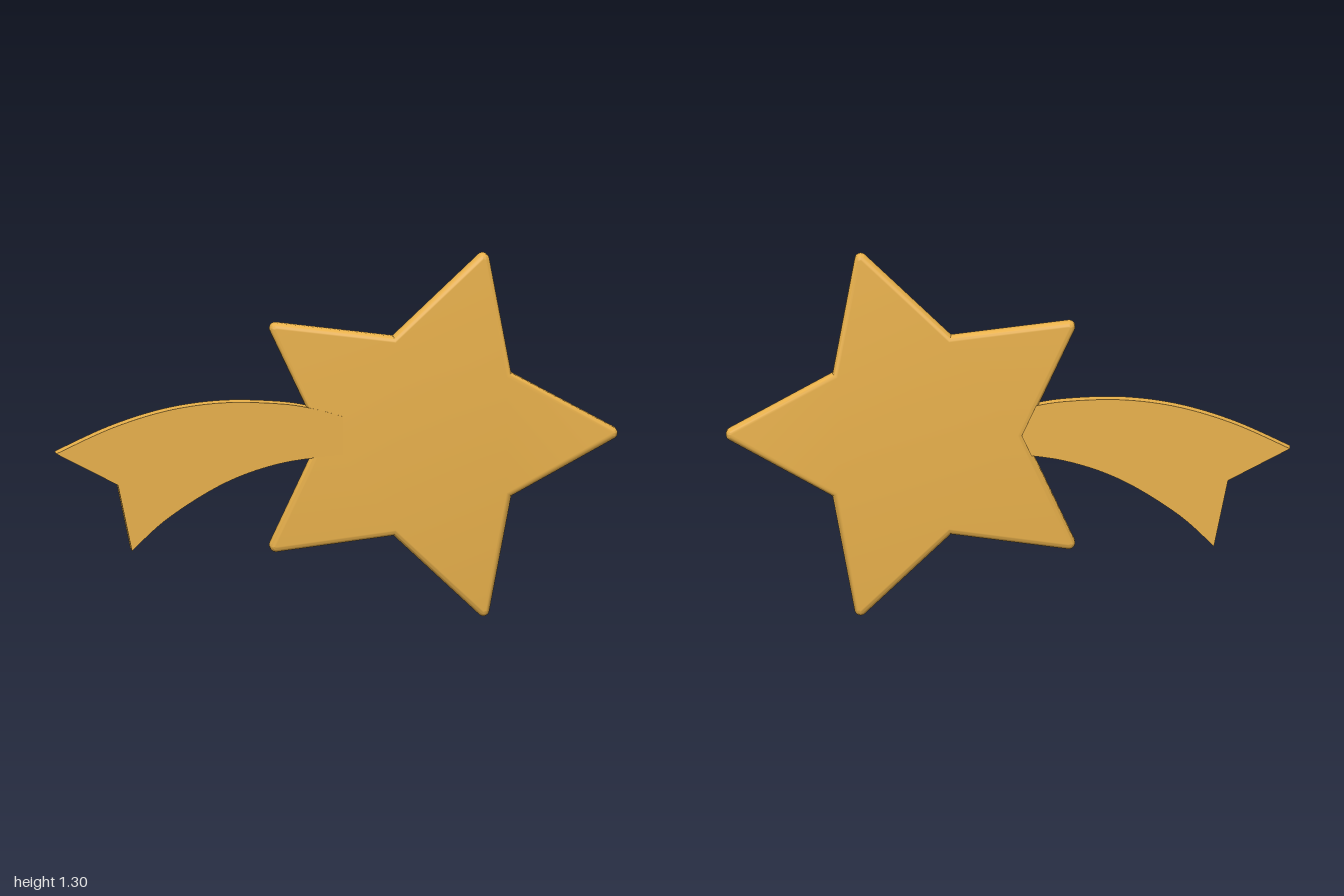
import * as THREE from 'three';
import { toCreasedNormals } from 'three/addons/utils/BufferGeometryUtils.js';

const gold = new THREE.MeshStandardMaterial({ color: 0xe8b04a });

function addPart(group, name, shape, options, z) {
  const geometry = new THREE.ExtrudeGeometry(shape, options);
  geometry.translate(0, 0, z);
  const mesh = new THREE.Mesh(toCreasedNormals(geometry, 0.6), gold);
  mesh.name = name;
  group.add(mesh);
}

// Five-pointed outline with small round tips and sharp inner corners
function starShape(cx, cy) {
  const tipCentre = 0.66, tipRadius = 0.022, inner = 0.375;
  const sweep = THREE.MathUtils.degToRad(61.4);
  const shape = new THREE.Shape();
  for (let i = 0; i < 5; i++) {
    const a = (i * 2 * Math.PI) / 5;
    const x = cx + tipCentre * Math.cos(a), y = cy + tipCentre * Math.sin(a);
    for (let j = 0; j <= 8; j++) {
      const t = a + sweep * (j / 4 - 1);
      const px = x + tipRadius * Math.cos(t), py = y + tipRadius * Math.sin(t);
      if (i + j === 0) shape.moveTo(px, py);
      else shape.lineTo(px, py);
    }
    const b = a + Math.PI / 5;
    shape.lineTo(cx + inner * Math.cos(b), cy + inner * Math.sin(b));
  }
  shape.closePath();
  return shape;
}

// Curved trail with a notched end
function tailShape() {
  const points = (list) => list.map(([x, y]) => new THREE.Vector2(x, y));
  const shape = new THREE.Shape();
  shape.moveTo(-1, 0.605);
  shape.lineTo(-0.78, 0.49);
  shape.lineTo(-0.73, 0.253);
  shape.splineThru(points([[-0.6, 0.37], [-0.4, 0.492], [-0.2, 0.56], [0.02, 0.588]]));
  shape.lineTo(0.02, 0.725);
  shape.splineThru(points([[-0.08, 0.753], [-0.2, 0.773], [-0.4, 0.78], [-0.6, 0.755], [-0.8, 0.695], [-1, 0.605]]));
  return shape;
}

export function createModel() {
  const group = new THREE.Group();
  group.name = 'shootingStar';
  addPart(group, 'star', starShape(0.318, 0.65), {
    depth: 0.03, bevelEnabled: true, bevelThickness: 0.02,
    bevelSize: 0.02, bevelOffset: -0.02, bevelSegments: 6,
  }, -0.015);
  // The trail stands slightly proud of the star's front face
  addPart(group, 'tail', tailShape(), { depth: 0.067, bevelEnabled: false, curveSegments: 10 }, -0.03);
  return group;
}
